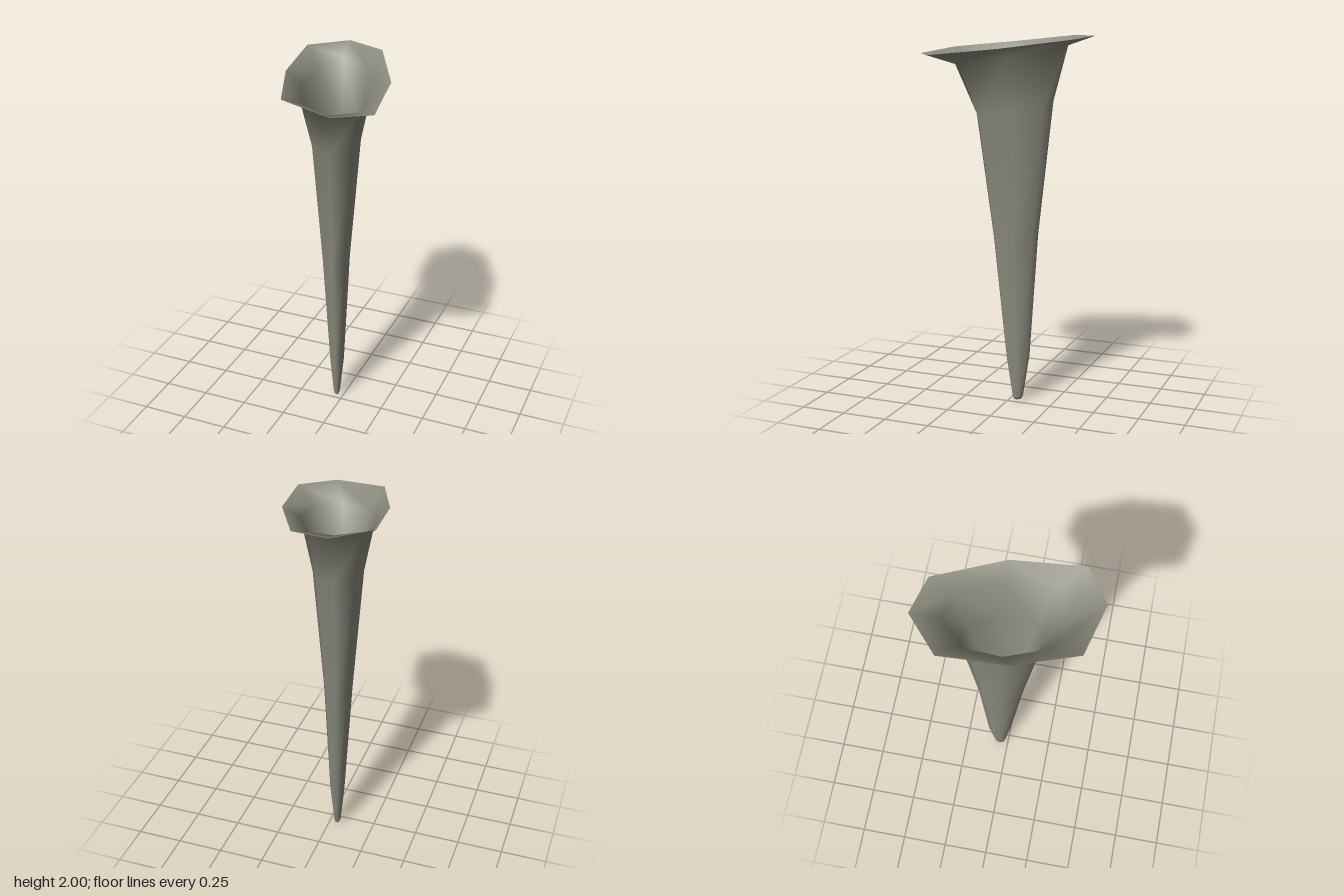
import * as THREE from 'three';

// Octagonal cross-sections of the flared mouth, corners as [x, y, z]
const rim = [
  [-0.305, 2.0, -0.28], [-0.125, 2.0, -0.44], [0.075, 1.985, -0.39], [0.25, 1.94, -0.05],
  [0.303, 1.905, 0.32], [0.125, 1.908, 0.44], [-0.155, 1.935, 0.37], [-0.275, 1.965, 0.055],
];
const flare = [
  [-0.21, 1.91, -0.19], [-0.105, 1.95, -0.3], [0.03, 1.935, -0.27], [0.15, 1.9, -0.06],
  [0.18, 1.86, 0.2], [0.04, 1.85, 0.28], [-0.125, 1.865, 0.21], [-0.212, 1.89, 0.01],
];
const throat = [
  [-0.16, 1.65, -0.15], [-0.085, 1.66, -0.228], [0.015, 1.65, -0.21], [0.09, 1.61, -0.055],
  [0.105, 1.58, 0.12], [0.01, 1.59, 0.17], [-0.105, 1.61, 0.125], [-0.165, 1.63, 0.0],
];

// Lower sections are the throat shrunk about a shifting centre
function shrink(cx, y, cz, s) {
  return throat.map(([x, ty, z]) => [
    cx + (x + 0.03) * s,
    y + (ty - 1.62) * s * 0.5,
    cz + (z + 0.029) * s,
  ]);
}

// Skin through the sections from bottom to top, closed at the tip
function skin(rings, tip) {
  const n = rings[0].length;
  const positions = [...rings.flat(), tip].flat();
  const index = [];
  const tipIndex = rings.length * n;
  for (let i = 0; i < n; i++) {
    const j = (i + 1) % n;
    for (let r = 0; r < rings.length - 1; r++) {
      const a = r * n + i, b = r * n + j, c = a + n, d = b + n;
      index.push(b, a, c, b, c, d);
    }
    index.push(tipIndex, i, j);
  }
  const geometry = new THREE.BufferGeometry();
  geometry.setAttribute('position', new THREE.Float32BufferAttribute(positions, 3));
  geometry.setIndex(index);
  geometry.computeVertexNormals();
  return geometry;
}

export function createModel() {
  const group = new THREE.Group();
  group.name = 'flaredHorn';

  const stone = new THREE.MeshStandardMaterial({ color: 0x8c8c7f, side: THREE.DoubleSide });
  stone.name = 'greyStone';

  const rings = [
    shrink(-0.042, 0.004, -0.047, 0.09),
    shrink(-0.042, 0.02, -0.047, 0.14),
    shrink(-0.04, 0.25, -0.048, 0.31),
    shrink(-0.037, 0.93, -0.035, 0.59),
    throat, flare, rim,
  ];
  const horn = new THREE.Mesh(skin(rings, [-0.042, 0, -0.047]), stone);
  horn.name = 'horn';
  group.add(horn);
  return group;
}
